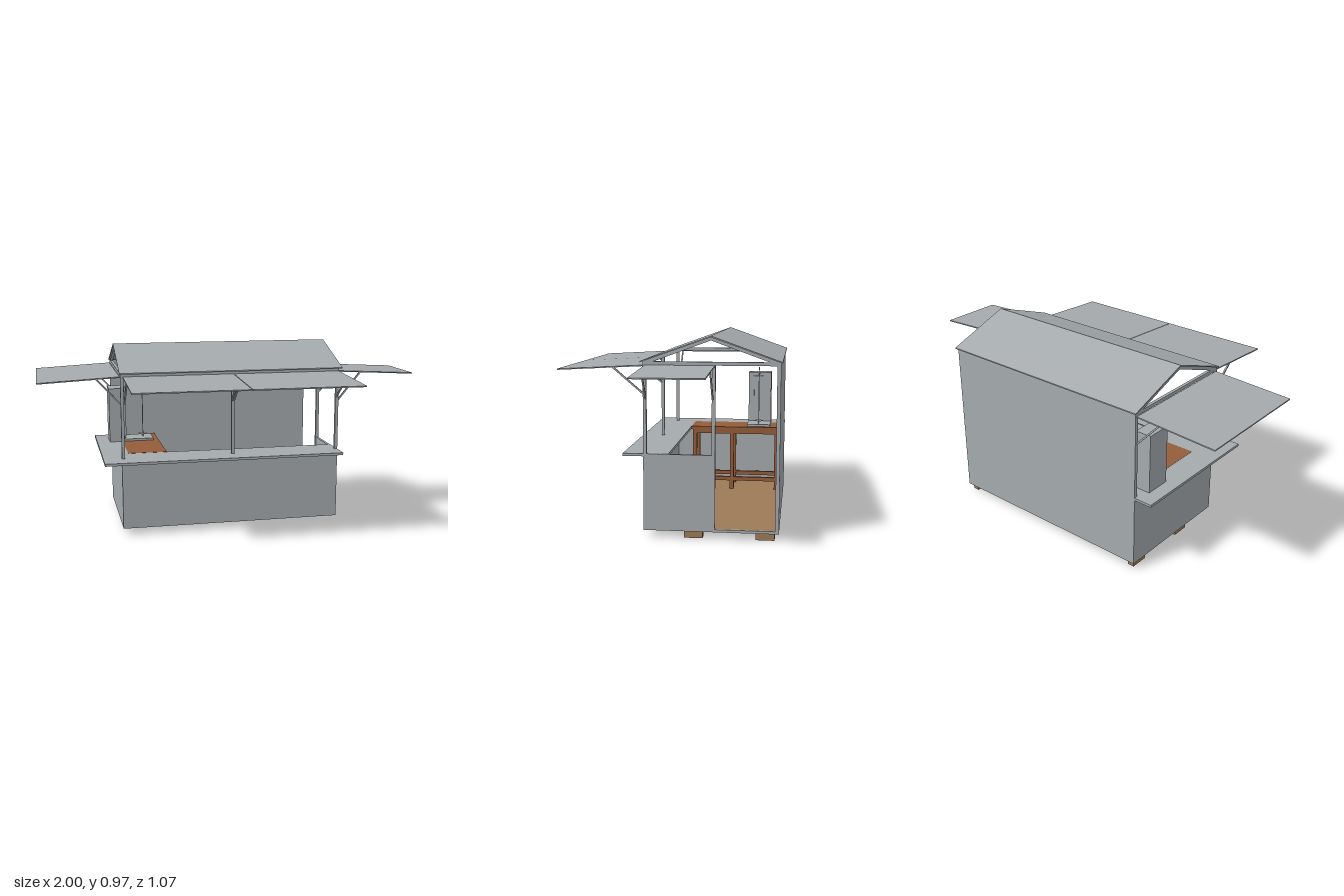
import * as THREE from 'three';

export function createModel() {
  const mat = (name, color) => {
    const m = new THREE.MeshStandardMaterial({ color });
    m.name = name;
    return m;
  };
  const grey = mat('grey panel', 0xa5aaad);
  const brown = mat('brown wood', 0x945c3a);
  const tan = mat('tan floor wood', 0x9c7a56);
  const root = new THREE.Group();
  root.name = 'kiosk';

  // Box given by its minimum and maximum on each axis
  const box = (name, m, x0, x1, y0, y1, z0, z1, parent = root) => {
    const b = new THREE.Mesh(new THREE.BoxGeometry(x1 - x0, y1 - y0, z1 - z0), m);
    b.position.set((x0 + x1) / 2, (y0 + y1) / 2, (z0 + z1) / 2);
    b.name = name;
    parent.add(b);
    return b;
  };
  // Flat outline in (a, y) extruded along x (side = false) or along z (side = true)
  const prism = (name, pts, from, to, alongZ = false, parent = root) => {
    const g = new THREE.ExtrudeGeometry(new THREE.Shape(pts.map(p => new THREE.Vector2(...p))),
      { depth: to - from, bevelEnabled: false });
    if (alongZ) g.translate(0, 0, from);
    else {
      g.rotateY(-Math.PI / 2); // outline x becomes z, depth becomes -x
      g.translate(to, 0, 0);
    }
    const p = new THREE.Mesh(g, grey);
    p.name = name;
    parent.add(p);
    return p;
  };
  // Thin square bar between two points
  const bar = (name, a, b, t = 0.008, parent = root) => {
    const p = new THREE.Vector3(...a), q = new THREE.Vector3(...b);
    const m = new THREE.Mesh(new THREE.BoxGeometry(t, t, p.distanceTo(q)), grey);
    m.position.copy(p).add(q).multiplyScalar(0.5);
    m.lookAt(q);
    m.name = name;
    parent.add(m);
  };

  // Feet and floor
  for (const [x0, x1] of [[-0.57, -0.535], [0.53, 0.565]])
    for (const [z0, z1] of [[-0.165, -0.075], [-0.51, -0.42]])
      box('foot', tan, x0, x1, 0, 0.036, z0, z1);
  box('floor', tan, -0.574, 0.567, 0.034, 0.048, -0.52, 0.11);

  // Walls
  box('backWall', grey, -0.585, 0.578, 0.035, 0.85, -0.53, -0.512);
  box('frontWall', grey, -0.585, 0.578, 0.035, 0.40, 0.106, 0.12);
  box('leftEndWall', grey, -0.585, -0.572, 0.035, 0.40, -0.512, 0.106);
  box('doorSideWall', grey, 0.564, 0.578, 0.035, 0.408, -0.225, 0.106);
  box('doorSill', grey, 0.564, 0.578, 0.035, 0.048, -0.512, -0.225);

  // Serving counters
  box('frontCounter', grey, -0.68, 0.577, 0.396, 0.409, 0, 0.22);
  box('sideCounter', grey, -0.68, -0.54, 0.396, 0.409, -0.53, 0);

  // Posts and top rails
  for (const x of [-0.577, 0, 0.57]) box('frontPost', grey, x - 0.008, x + 0.008, 0.40, 0.84, 0.104, 0.12);
  box('doorPost', grey, 0.562, 0.578, 0.04, 0.84, -0.225, -0.208);
  box('frontRail', grey, -0.585, 0.578, 0.833, 0.85, 0.104, 0.12);
  box('leftRail', grey, -0.585, -0.569, 0.833, 0.85, -0.512, 0.104);
  box('rightRail', grey, 0.562, 0.578, 0.833, 0.85, -0.512, 0.104);

  // Gabled roof, open at both ends
  const ridge = -0.203;
  prism('roof', [[0.132, 0.846], [0.132, 0.852], [ridge, 0.972], [-0.537, 0.852], [-0.537, 0.846], [ridge, 0.965]],
    -0.59, 0.592);
  for (const x of [-0.585, 0.562])
    prism('rafters', [[0.12, 0.85], [ridge, 0.966], [-0.526, 0.85], [-0.478, 0.85], [ridge, 0.95], [0.07, 0.85]],
      x, x + 0.016);

  // Raised awnings
  const slope = (a, b) => [[a, 0.827], [b, 0.805], [b, 0.811], [a, 0.833]];
  for (const [x0, x1] of [[-0.572, 0.001], [0.004, 0.576]])
    prism('frontAwning', slope(0.12, 0.535), x0, x1);
  prism('rightAwning', slope(0.58, 1), -0.222, 0.11, true);
  prism('leftAwning', slope(-0.587, -1), -0.525, 0.108, true);

  // Awning struts
  for (const x of [-0.566, -0.006, 0.006, 0.568])
    bar('frontStrut', [x, 0.695, 0.118], [x, 0.82, 0.265]);
  for (const z of [0.107, -0.212]) bar('rightStrut', [0.578, 0.675, z], [0.70, 0.822, z]);
  for (const z of [0.1, -0.515]) bar('leftStrut', [-0.583, 0.69, z], [-0.705, 0.822, z]);

  // Wooden work table
  const table = new THREE.Group();
  table.name = 'workTable';
  root.add(table);
  box('tableTop', brown, -0.54, -0.335, 0.394, 0.41, -0.51, 0, table);
  for (const x of [-0.535, -0.36]) {
    box('apron', brown, x, x + 0.02, 0.37, 0.394, -0.5, -0.01, table);
    box('stretcher', brown, x, x + 0.02, 0.095, 0.117, -0.5, -0.01, table);
    for (const z of [-0.5, -0.245, -0.03])
      box('tableLeg', brown, x - 0.001, x + 0.021, 0.048, 0.394, z, z + 0.022, table);
  }

  // Vertical grill
  const grill = new THREE.Group();
  grill.name = 'verticalGrill';
  root.add(grill);
  box('grillBody', grey, -0.61, -0.525, 0.409, 0.71, -0.45, -0.318, grill);
  for (const z of [-0.447, -0.35]) box('grillWing', grey, -0.525, -0.517, 0.44, 0.69, z, z + 0.028, grill);
  for (const z of [-0.413, -0.382])
    for (const y of [0.42, 0.65])
      box('burner', grey, -0.525, -0.518, y, y + 0.04, z, z + 0.028, grill);
  box('dripTray', grey, -0.525, -0.365, 0.41, 0.422, -0.45, -0.318, grill);
  bar('spitArm', [-0.53, 0.708, -0.383], [-0.37, 0.708, -0.383], 0.004, grill);
  const turned = (name, r, y0, y1) => {
    const m = new THREE.Mesh(new THREE.CylinderGeometry(r, r, y1 - y0, 16), grey);
    m.position.set(-0.417, (y0 + y1) / 2, -0.383);
    m.name = name;
    grill.add(m);
  };
  turned('spit', 0.0025, 0.42, 0.75);
  turned('spitPlate', 0.025, 0.437, 0.44);

  return root;
}
